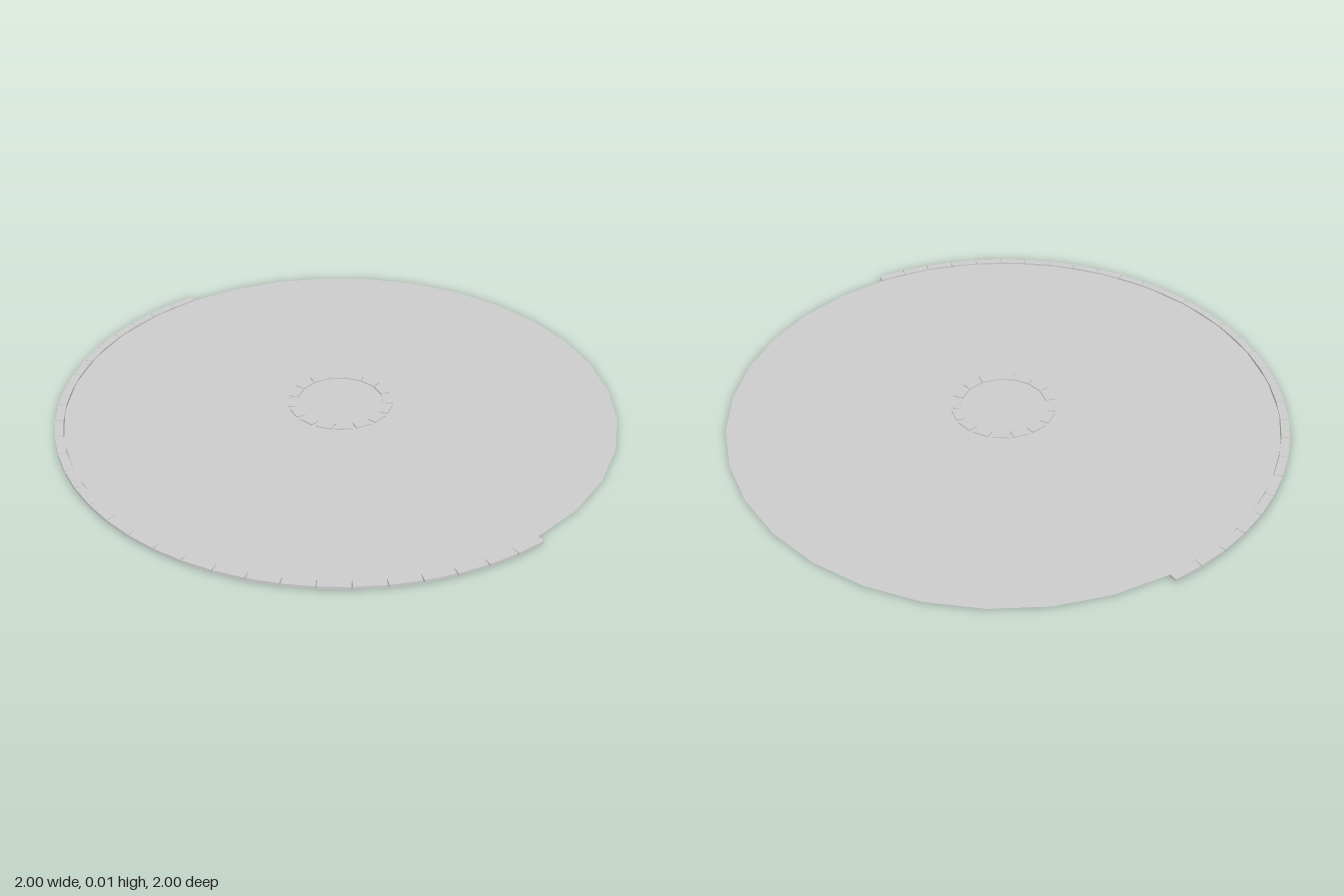
import * as THREE from 'three';

const HEIGHT = 0.01;
const material = new THREE.MeshStandardMaterial({ color: 0xcccccc, side: THREE.DoubleSide });

// Row of straight blocks laid along an arc, measured from +x towards +z
function blockArc(name, count, start, sweep, inner, outer) {
  const group = new THREE.Group();
  group.name = name;
  const step = sweep / count;
  const length = 2 * inner * Math.tan(step / 2) - 0.001;
  const geometry = new THREE.BoxGeometry(outer - inner, HEIGHT, length);
  const radius = (inner + outer) / 2;
  for (let i = 0; i < count; i++) {
    const a = start + (i + 0.5) * step;
    const block = new THREE.Mesh(geometry, material);
    block.name = name + 'Block';
    block.position.set(radius * Math.cos(a), HEIGHT / 2, radius * Math.sin(a));
    block.rotation.y = -a;
    group.add(block);
  }
  return group;
}

export function createModel() {
  const model = new THREE.Group();
  model.name = 'pavedCircle';

  // Thin flat ground disc, at mid-height of the blocks
  const disc = new THREE.Mesh(new THREE.CircleGeometry(0.986, 32), material);
  disc.name = 'groundDisc';
  disc.rotation.x = -Math.PI / 2;
  disc.position.y = HEIGHT / 2;
  model.add(disc);

  // Half-circle kerb on the rim and full ring of stones in the middle
  model.add(blockArc('rimKerb', 30, Math.PI / 4, Math.PI, 0.984, 1.014));
  model.add(blockArc('centreRing', 16, 0, Math.PI * 2, 0.152, 0.188));

  // The kerb overhangs one side, so shift the whole to centre it
  model.children.forEach((part) => {
    part.position.x += 0.014;
    part.position.z -= 0.014;
  });
  return model;
}
